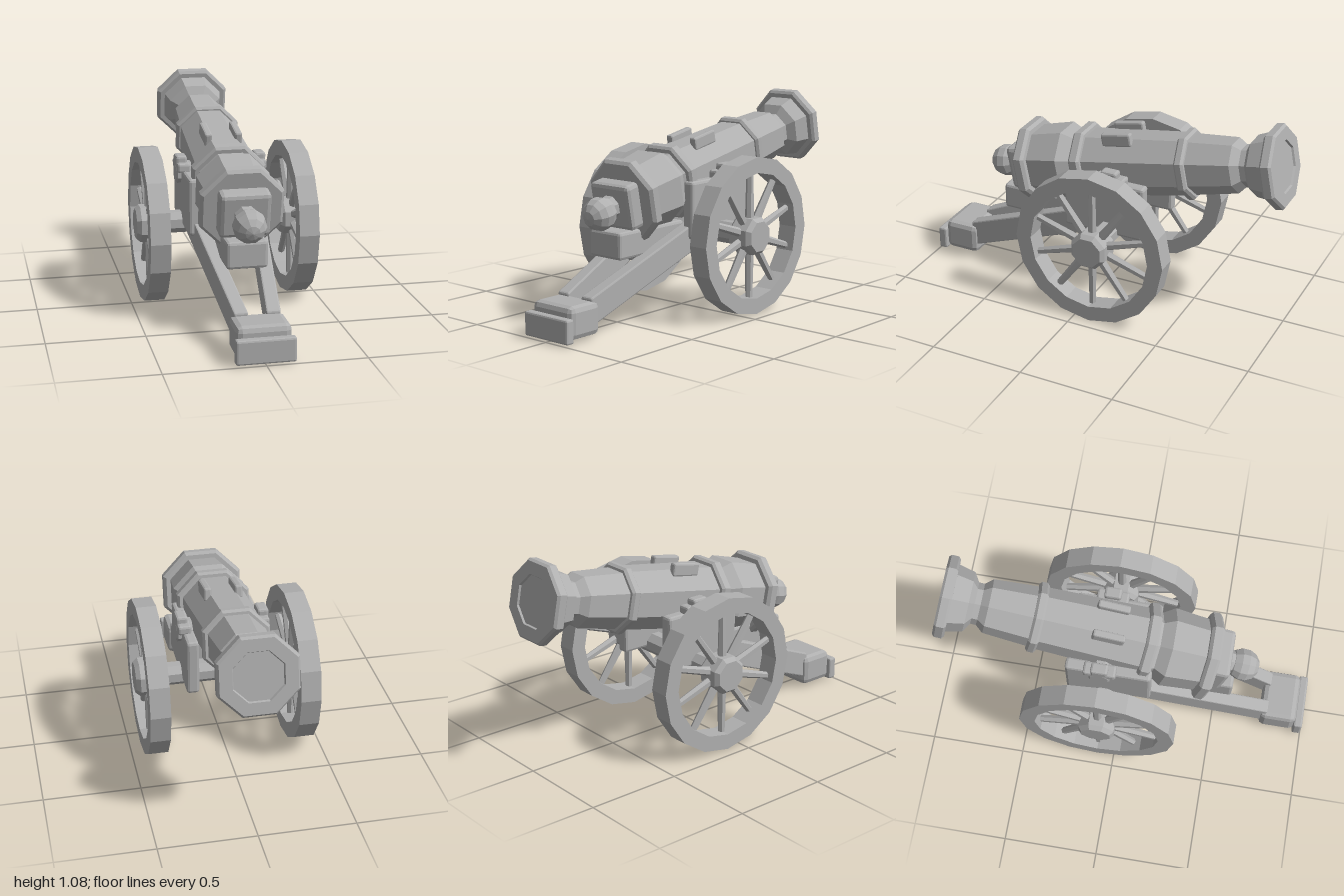
import * as THREE from 'three';
import { RoundedBoxGeometry } from 'three/addons/geometries/RoundedBoxGeometry.js';

const grey = new THREE.MeshStandardMaterial({ color: 0xb0b0b0 });
grey.name = 'cast grey';

// Faceted mesh: unshared vertices give flat normals
function add(parent, name, geometry, x = 0, y = 0, z = 0) {
  const geo = geometry.index ? geometry.toNonIndexed() : geometry;
  geo.computeVertexNormals();
  const mesh = new THREE.Mesh(geo, grey);
  mesh.name = name;
  mesh.position.set(x, y, z);
  parent.add(mesh);
  return mesh;
}

// Box with single-facet chamfered edges
const block = (w, h, d, bevel = 0.012) => new RoundedBoxGeometry(w, h, d, 1, bevel);

// Chamfered box given by its limits
function span(parent, name, x0, x1, y0, y1, z0, z1, bevel) {
  return add(parent, name, block(x1 - x0, y1 - y0, z1 - z0, bevel),
    (x0 + x1) / 2, (y0 + y1) / 2, (z0 + z1) / 2);
}

// Eight-sided turned part; radii are measured to the flats
function octagon(profile) {
  const k = 1 / Math.cos(Math.PI / 8);
  return new THREE.LatheGeometry(profile.map(([r, y]) => new THREE.Vector2(r * k, y)), 8, Math.PI / 8);
}

// Moulded band around the barrel
const band = (r, s0, s1, b = 0.012) => octagon([
  [0, s0], [r - b, s0], [r, s0 + b], [r, s1 - b], [r - b, s1], [0, s1],
]);

function makeBarrel() {
  const barrel = new THREE.Group();
  barrel.name = 'barrel';
  barrel.position.set(0, 0.615, 0.46);
  barrel.rotation.x = -1.38; // local y runs from breech to muzzle, local z is up

  add(barrel, 'barrelTube', octagon([
    [0, 0.03], [0.172, 0.03], [0.19, 0.25], [0.155, 0.31], [0.165, 0.34],
    [0.15, 0.93], [0.145, 0.96], [0.13, 1.2], [0.1, 1.24], [0.1, 1.27],
    [0.143, 1.3], [0.165, 1.4], [0, 1.4],
  ]));
  add(barrel, 'breechRing', band(0.213, 0, 0.068, 0.015));
  add(barrel, 'rearBand', band(0.192, 0.326, 0.388));
  add(barrel, 'frontBand', band(0.17, 0.915, 0.968));

  // Muzzle lip with a shallow recess for the bore
  add(barrel, 'muzzleRing', octagon([
    [0, 1.385], [0.185, 1.385], [0.198, 1.397], [0.198, 1.435], [0.187, 1.447],
    [0.125, 1.447], [0.12, 1.437], [0, 1.437],
  ]));

  // Breech plate, neck and knob
  add(barrel, 'breechPlate', block(0.26, 0.12, 0.235, 0.022), 0, -0.02, 0);
  add(barrel, 'knobNeck', octagon([[0, -0.14], [0.05, -0.14], [0.06, -0.07], [0, -0.07]]));
  add(barrel, 'knob', new THREE.SphereGeometry(0.087, 10, 7), 0, -0.163, -0.008);

  // Lifting handles
  for (const side of [-1, 1]) {
    add(barrel, 'liftingHandle', block(0.04, 0.168, 0.07, 0.01), side * 0.08, 0.58, 0.16);
  }
  return barrel;
}

function makeWheel() {
  const wheel = new THREE.Group();
  wheel.name = 'wheel';
  const R = 0.4125, r = 0.33, h = 0.0525;
  const rim = [[R, -h], [R, h], [r, h], [r, -h], [R, -h]].map(([a, b]) => new THREE.Vector2(a, b));
  add(wheel, 'rim', new THREE.LatheGeometry(rim, 16).rotateZ(-Math.PI / 2));
  add(wheel, 'hub', octagon([
    [0, -0.073], [0.076, -0.073], [0.094, -0.05], [0.094, 0.05], [0.076, 0.073], [0, 0.073],
  ]).rotateZ(-Math.PI / 2));
  for (let i = 0; i < 10; i++) {
    const spoke = new THREE.CylinderGeometry(0.018, 0.024, 0.27, 6);
    spoke.translate(0, 0.21, 0).rotateX((i * Math.PI) / 5);
    add(wheel, 'spoke', spoke);
  }
  return wheel;
}

// Trail beam running back and inward from the cheek
function trailBeam(side) {
  const a = new THREE.Vector3(side * 0.17, 0.46, 0), b = new THREE.Vector3(side * 0.08, 0.125, 0.8);
  const geo = block(0.072, 0.145, 0.8, 0.008);
  const p = geo.attributes.position;
  for (let i = 0; i < p.count; i++) {
    const c = a.clone().lerp(b, p.getZ(i) / 0.8 + 0.5);
    p.setXYZ(i, p.getX(i) + c.x, p.getY(i) + c.y, c.z);
  }
  return geo;
}

function makeCarriage() {
  const carriage = new THREE.Group();
  carriage.name = 'carriage';

  for (const side of [-1, 1]) {
    const x = side * 0.182;
    // Cheek, trunnion and its cap
    add(carriage, 'cheek', block(0.066, 0.3, 0.45, 0.015), x, 0.55, -0.065);
    add(carriage, 'trunnionCap', block(0.07, 0.05, 0.17), side * 0.205, 0.715, -0.105);
    add(carriage, 'trunnionClasp', block(0.06, 0.06, 0.09), side * 0.212, 0.743, -0.105);
    add(carriage, 'trunnion', octagon([
      [0, 0], [0.055, 0], [0.055, 0.235], [0.045, 0.242], [0, 0.242],
    ]).rotateZ(-side * Math.PI / 2), 0, 0.68, -0.105);
    add(carriage, 'trailBeam', trailBeam(side));

    const wheel = makeWheel();
    wheel.position.set(side * 0.3875, 0.4125, -0.09);
    carriage.add(wheel);
  }

  // Axle and cross members
  add(carriage, 'axle', octagon([
    [0, -0.33], [0.056, -0.33], [0.056, 0.33], [0, 0.33],
  ]).rotateZ(-Math.PI / 2), 0, 0.4125, -0.09);
  span(carriage, 'elevatingBed', -0.105, 0.105, 0.345, 0.485, 0.1, 0.585, 0.015);
  span(carriage, 'crossBar', -0.15, 0.15, 0.275, 0.4, 0.18, 0.31);

  // Trail foot and end plate
  span(carriage, 'trailFoot', -0.137, 0.137, 0.015, 0.183, 0.76, 0.958, 0.03);
  span(carriage, 'trailPlate', -0.148, 0.148, 0.008, 0.132, 0.952, 1, 0.01);
  return carriage;
}

export function createModel() {
  const model = new THREE.Group();
  model.name = 'fieldCannon';
  model.add(makeBarrel(), makeCarriage());
  return model;
}
